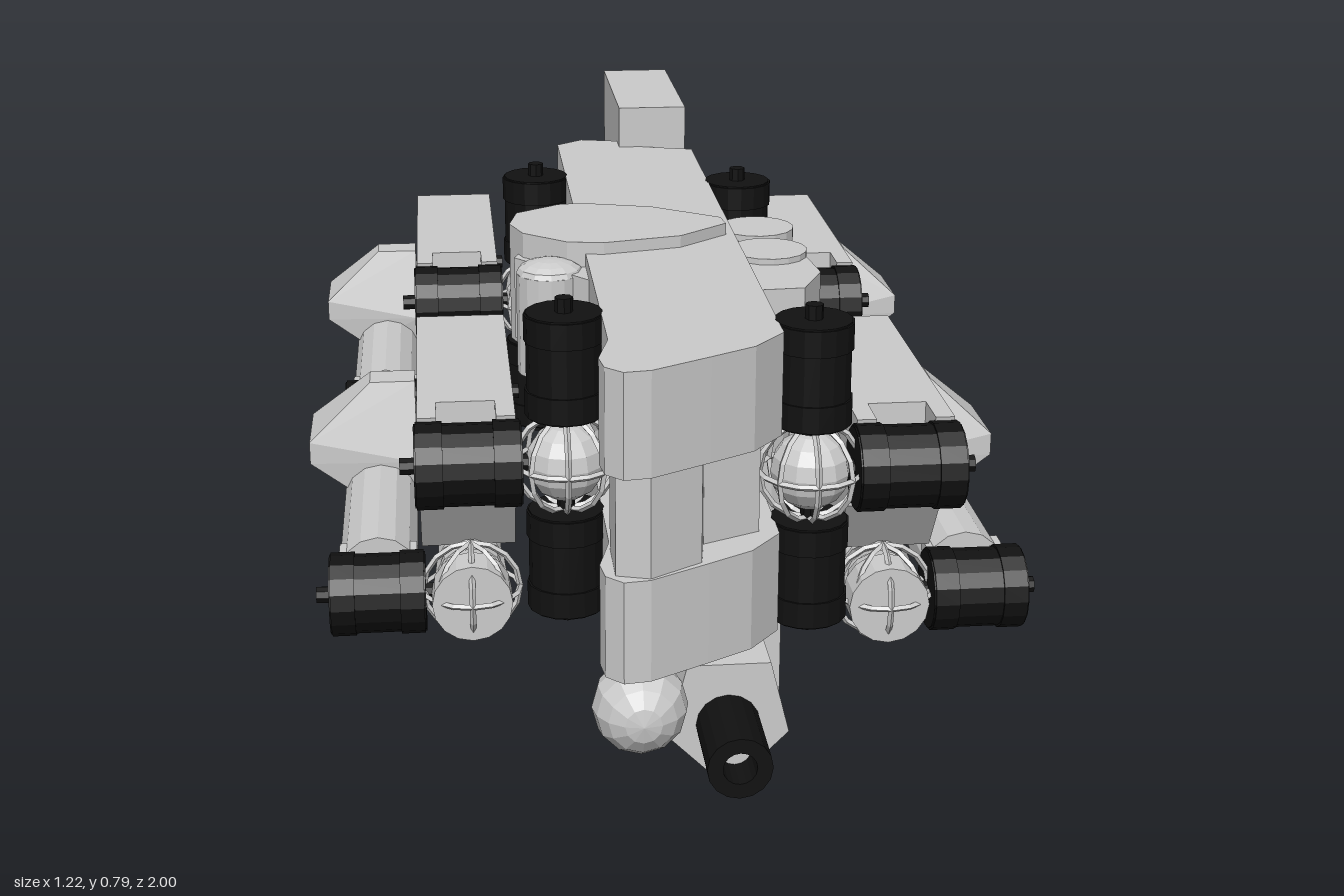
import * as THREE from 'three';
import { ConvexGeometry } from 'three/addons/geometries/ConvexGeometry.js';

const grey = new THREE.MeshStandardMaterial({ color: 0xcccccc, flatShading: true, side: THREE.DoubleSide });
const black = new THREE.MeshStandardMaterial({ color: 0x111111, flatShading: true });

function add(parent, name, geometry, material = grey) {
  const mesh = new THREE.Mesh(geometry, material);
  mesh.name = name;
  parent.add(mesh);
  return mesh;
}

function extrude(points, depth) {
  const shape = new THREE.Shape(points.map(([a, b]) => new THREE.Vector2(a, b)));
  return new THREE.ExtrudeGeometry(shape, { depth, bevelEnabled: false });
}
// Outline in (x, z), filled between two heights
const slab = (points, y0, y1) => extrude(points, y1 - y0).rotateX(Math.PI / 2).translate(0, y1, 0);
// Outline in (z, y), filled between two x positions
const sideProfile = (points, x0, x1) => extrude(points, x1 - x0).rotateY(-Math.PI / 2).translate(x1, 0, 0);
// Outline in (x, y), filled between two z positions
const frontProfile = (points, z0, z1) => extrude(points, z1 - z0).translate(0, 0, z0);

// Cylinder of the given length, centred, along an axis
function rod(axis, r, length, x, y, z, sides = 16) {
  const g = new THREE.CylinderGeometry(r, r, length, sides);
  if (axis === 'x') g.rotateZ(Math.PI / 2);
  if (axis === 'z') g.rotateX(Math.PI / 2);
  return g.translate(x, y, z);
}

// Black motor drum with raised rims and a pin through it
function motor(parent, name, axis, r, length, x, y, z) {
  const group = new THREE.Group();
  group.name = name;
  add(group, 'drum', rod(axis, r * 0.95, length, x, y, z), black);
  for (const s of [-1, 1]) {
    const o = s * length * 0.36;
    add(group, 'rim', rod(axis, r, length * 0.25, x + (axis === 'x' ? o : 0), y + (axis === 'y' ? o : 0), z), black);
  }
  add(group, 'pin', rod(axis, 0.014, length + 0.045, x, y, z, 8), black);
  parent.add(group);
}

// Ball joint inside a cage of thin rings
function ballJoint(parent, name, x, y, z) {
  const group = new THREE.Group();
  group.name = name;
  group.position.set(x, y, z);
  add(group, 'ball', new THREE.SphereGeometry(0.062, 12, 8));
  for (let i = 0; i < 4; i++) {
    add(group, 'cageRing', new THREE.TorusGeometry(0.079, 0.005, 4, 16).rotateY(i * Math.PI / 4));
  }
  add(group, 'cageRing', new THREE.TorusGeometry(0.079, 0.005, 4, 16).rotateX(Math.PI / 2));
  parent.add(group);
}

// Folded leg; s is the side, z is the shoulder position
function makeLeg(s, z) {
  const leg = new THREE.Group();
  leg.name = s > 0 ? 'leftLeg' : 'rightLeg';
  leg.position.z = z;
  const span = (a, b) => (s > 0 ? [a, b] : [-b, -a]);

  // Shoulder
  motor(leg, 'upperShoulderMotor', 'y', 0.062, 0.165, s * 0.185, 0.63, 0);
  motor(leg, 'lowerShoulderMotor', 'y', 0.062, 0.165, s * 0.185, 0.31, 0);
  ballJoint(leg, 'shoulderJoint', s * 0.185, 0.47, 0);
  motor(leg, 'hipMotor', 'x', 0.068, 0.165, s * 0.335, 0.47, 0);

  // Thigh with prongs holding the hip and knee motors
  add(leg, 'thigh', sideProfile([
    [-0.09, 0.54], [-0.53, 0.54], [-0.58, 0.52], [-0.61, 0.45],
    [-0.575, 0.36], [-0.57, 0.27], [-0.15, 0.27], [-0.085, 0.37]], ...span(0.26, 0.412)));
  for (const [a, b] of [[0.26, 0.29], [0.382, 0.412]]) {
    add(leg, 'hipProng', sideProfile([[-0.02, 0.54], [-0.1, 0.54], [-0.1, 0.36], [-0.04, 0.42]], ...span(a, b)));
    add(leg, 'kneeProng', sideProfile([
      [-0.55, 0.53], [-0.585, 0.52], [-0.665, 0.40], [-0.665, 0.35], [-0.57, 0.32]], ...span(a, b)));
  }
  motor(leg, 'kneeMotor', 'x', 0.057, 0.16, s * 0.335, 0.36, -0.63);

  // Tapered shin cover
  const corners = [];
  for (const [x, y, z0, z1] of [
    [0.42, 0.41, -0.62, -0.56], [0.5, 0.41, -0.62, -0.56], [0.42, 0.27, -0.68, -0.52],
    [0.61, 0.31, -0.68, -0.53], [0.61, 0.27, -0.68, -0.53], [0.53, 0.21, -0.68, -0.53], [0.42, 0.21, -0.68, -0.53]]) {
    corners.push(new THREE.Vector3(s * x, y, z0), new THREE.Vector3(s * x, y, z1));
  }
  add(leg, 'shinCover', new ConvexGeometry(corners));

  // Outer shin tube with a funnel at the back end
  const tube = [[0, 0.05], [0.03, 0.05], [0.055, 0], [0.066, 0], [0.066, 0.48], [0, 0.48]];
  add(leg, 'shinTube', new THREE.LatheGeometry(tube.map(p => new THREE.Vector2(...p)), 14)
    .rotateX(Math.PI / 2).translate(s * 0.485, 0.2, -0.68));
  for (const x of [0.432, 0.538]) {
    add(leg, 'ankleProng', new THREE.BoxGeometry(0.022, 0.08, 0.1).translate(s * x, 0.2, -0.19));
  }
  motor(leg, 'ankleMotor', 'x', 0.068, 0.155, s * 0.485, 0.197, -0.135);

  // Ankle and folded foot rod ending in a bulb
  ballJoint(leg, 'ankleJoint', s * 0.333, 0.2, -0.135);
  add(leg, 'ankleCap', rod('z', 0.065, 0.06, s * 0.333, 0.2, -0.1));
  const foot = [[0, 0], [0.035, 0.01], [0.056, 0.04], [0.058, 0.07], [0.045, 0.11], [0.03, 0.17],
    [0.03, 0.27], [0.052, 0.29], [0.056, 0.5], [0, 0.5]];
  add(leg, 'footRod', new THREE.LatheGeometry(foot.map(p => new THREE.Vector2(...p)), 14)
    .rotateX(Math.PI / 2).translate(s * 0.333, 0.2, -0.67));
  return leg;
}

export function createModel() {
  const model = new THREE.Group();
  model.name = 'fourLeggedMachine';

  // Upper and lower hull slabs around a narrower core
  const outline = [[-0.15, 0.93], [-0.145, 0.97], [-0.12, 0.995], [-0.08, 0.99], [0.01, 0.94], [0.08, 0.9], [0.13, 0.84],
    [0.13, -0.31], [0.03, -0.34], [0, -0.39], [-0.08, -0.41], [-0.13, -0.37], [-0.13, 0.85]];
  add(model, 'upperHull', slab(outline, 0.55, 0.712));
  add(model, 'lowerHull', slab(outline, 0.23, 0.392));
  add(model, 'hullCore', slab([[-0.13, 0.97], [-0.08, 0.985], [0.0, 0.935], [0.01, 0.87], [0.1, 0.83],
    [0.1, -0.29], [0, -0.32], [-0.1, -0.36], [-0.1, 0.82], [-0.13, 0.87]], 0.39, 0.55));

  // Turret platform
  add(model, 'turretBase', slab([[-0.245, 0.34], [-0.13, 0.48], [0, 0.49], [0.13, 0.56], [0.21, 0.555], [0.25, 0.47],
    [0.24, 0.36], [0.1, 0.24], [-0.2, 0.22]], 0.55, 0.69));
  add(model, 'turretTop', slab([[-0.25, 0.28], [-0.235, 0.21], [-0.16, 0.16], [-0.12, 0.155], [0, 0.19], [0.11, 0.27],
    [0.115, 0.31], [0.03, 0.38], [-0.1, 0.41], [-0.16, 0.4], [-0.23, 0.34]], 0.53, 0.732));
  for (const [x, z] of [[0.18, 0.22], [0.18, 0.36], [0.05, 0.43]]) {
    add(model, 'canister', rod('y', 0.065, 0.3, x, 0.55, z));
  }
  add(model, 'smallCanister', rod('y', 0.055, 0.17, -0.19, 0.6, 0.41));
  add(model, 'canisterDome', new THREE.SphereGeometry(0.055, 12, 4, 0, Math.PI * 2, 0, Math.PI / 2)
    .scale(1, 0.4, 1).translate(-0.19, 0.685, 0.41));
  for (const x of [-0.07, 0.18]) {
    add(model, 'lowerCanister', rod('y', 0.066, 0.33, x, 0.245, 0.23));
  }

  // Keel beam with chamfered bottom, and the front gun
  add(model, 'keel', frontProfile([[0.02, 0], [0.09, 0], [0.15, 0.06], [0.15, 0.24], [-0.04, 0.24], [-0.04, 0.06]], -0.3, 0.75));
  add(model, 'keelNose', frontProfile([[0.02, 0], [0.09, 0], [0.15, 0.06], [0.12, 0.18], [-0.01, 0.18], [-0.04, 0.06]], 0.74, 0.85));
  add(model, 'gunBarrel', new THREE.LatheGeometry([[0, 0], [0.05, 0], [0.05, 0.14], [0.026, 0.14], [0.026, 0.06], [0, 0.06]]
    .map(p => new THREE.Vector2(...p)), 16).rotateX(Math.PI / 2).translate(0.054, 0.078, 0.85), black);
  add(model, 'gunBore', rod('z', 0.026, 0.02, 0.054, 0.078, 0.92));
  add(model, 'sensorBall', new THREE.SphereGeometry(0.073, 12, 8).rotateX(Math.PI / 2).translate(-0.09, 0.155, 0.92));

  // Rear housing, tail and tall fin
  add(model, 'rearHousing', frontProfile([[0, 0.04], [0.11, 0.04], [0.15, 0.06], [0.15, 0.33], [-0.04, 0.33], [-0.04, 0.06]], -0.87, -0.29));
  add(model, 'tail', sideProfile([[-0.68, 0.03], [-0.87, 0.03], [-1, 0.07], [-0.975, 0.24], [-0.98, 0.457],
    [-0.89, 0.45], [-0.75, 0.4], [-0.68, 0.35]], -0.02, 0.122));
  add(model, 'tallFin', sideProfile([[-0.34, 0.79], [-0.71, 0.79], [-0.71, 0.5], [-0.77, 0.42], [-0.77, 0.32],
    [-0.34, 0.32]], -0.01, 0.12));

  // Four legs, the two sides staggered
  for (const z of [0.78, -0.06]) {
    model.add(makeLeg(1, z), makeLeg(-1, z - 0.07));
  }
  return model;
}
